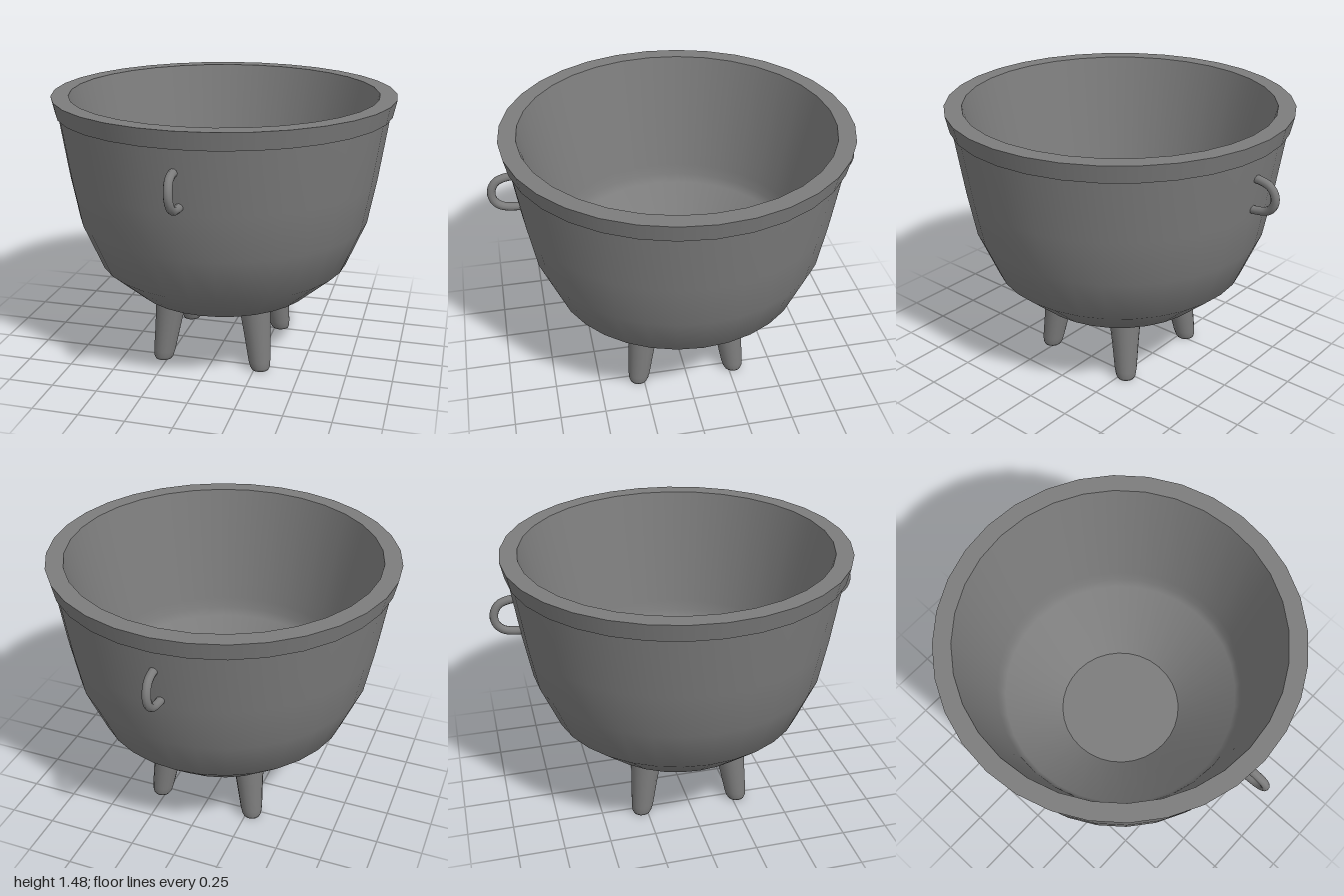
import * as THREE from 'three';

const iron = new THREE.MeshStandardMaterial({ color: 0x7c7c7c });
iron.name = 'dark iron';

function addMesh(parent, name, geometry) {
  const mesh = new THREE.Mesh(geometry, iron);
  mesh.name = name;
  parent.add(mesh);
  return mesh;
}

// Revolve a list of [radius, height] points
const lathe = (points, sides = 32) =>
  new THREE.LatheGeometry(points.map(([r, y]) => new THREE.Vector2(r, y)), sides);

export function createModel() {
  const model = new THREE.Group();
  model.name = 'cauldron';

  // Bowl: separate revolved pieces keep the rim edges sharp
  const bowl = new THREE.Group();
  bowl.name = 'bowl';
  bowl.position.z = -0.004;
  model.add(bowl);
  addMesh(bowl, 'outerWall', lathe([
    [0, 0.343], [0.34, 0.343], [0.5, 0.38], [0.69, 0.548], [0.795, 0.8], [0.84, 1.05], [0.888, 1.385],
  ]));
  addMesh(bowl, 'lipUnderside', lathe([[0.88, 1.383], [0.9, 1.383]]));
  addMesh(bowl, 'lipBand', lathe([[0.9, 1.383], [0.92, 1.475]]));
  addMesh(bowl, 'rimTop', lathe([[0.92, 1.475], [0.828, 1.475]]));

  // Hollow: straight wall, softly bevelled into a sloping base and a flat floor
  addMesh(bowl, 'innerWall', lathe([
    [0.828, 1.475], [0.682, 0.83], [0.669, 0.77], [0.645, 0.725], [0.36, 0.458], [0.34, 0.44],
  ]));
  addMesh(bowl, 'innerFloor', lathe([[0.34, 0.44], [0, 0.44]]));

  // Four tapered legs, sheared so the feet splay outward
  for (const sx of [-1, 1]) {
    for (const sz of [-1, 1]) {
      const leg = lathe([
        [0, 0], [0.048, 0], [0.055, 0.015], [0.061, 0.05], [0.073, 0.2], [0.087, 0.345], [0.09, 0.38],
      ], 16);
      const k = 0.12, c = 0.279;
      leg.applyMatrix4(new THREE.Matrix4().set(
        1, -sx * k, 0, sx * c,
        0, 1, 0, 0,
        0, -sz * k, 1, sz * c,
        0, 0, 0, 1,
      ));
      addMesh(model, 'leg', leg);
    }
  }

  // A slightly tilted D-shaped handle on the front and on the back
  const path = new THREE.CatmullRomCurve3([
    [-0.017, 1.265, 0.85], [-0.017, 1.26, 0.9], [-0.014, 1.243, 0.945], [-0.01, 1.21, 0.97],
    [-0.007, 1.172, 0.977], [-0.004, 1.132, 0.965], [-0.001, 1.103, 0.932],
    [0, 1.091, 0.885], [0, 1.088, 0.835],
  ].map((p) => new THREE.Vector3(...p)));
  for (const turn of [0, Math.PI]) {
    const handle = addMesh(model, turn ? 'backHandle' : 'frontHandle',
      new THREE.TubeGeometry(path, 28, 0.022, 10));
    handle.rotation.y = turn;
    handle.position.x = turn ? -0.008 : 0;
  }

  return model;
}
